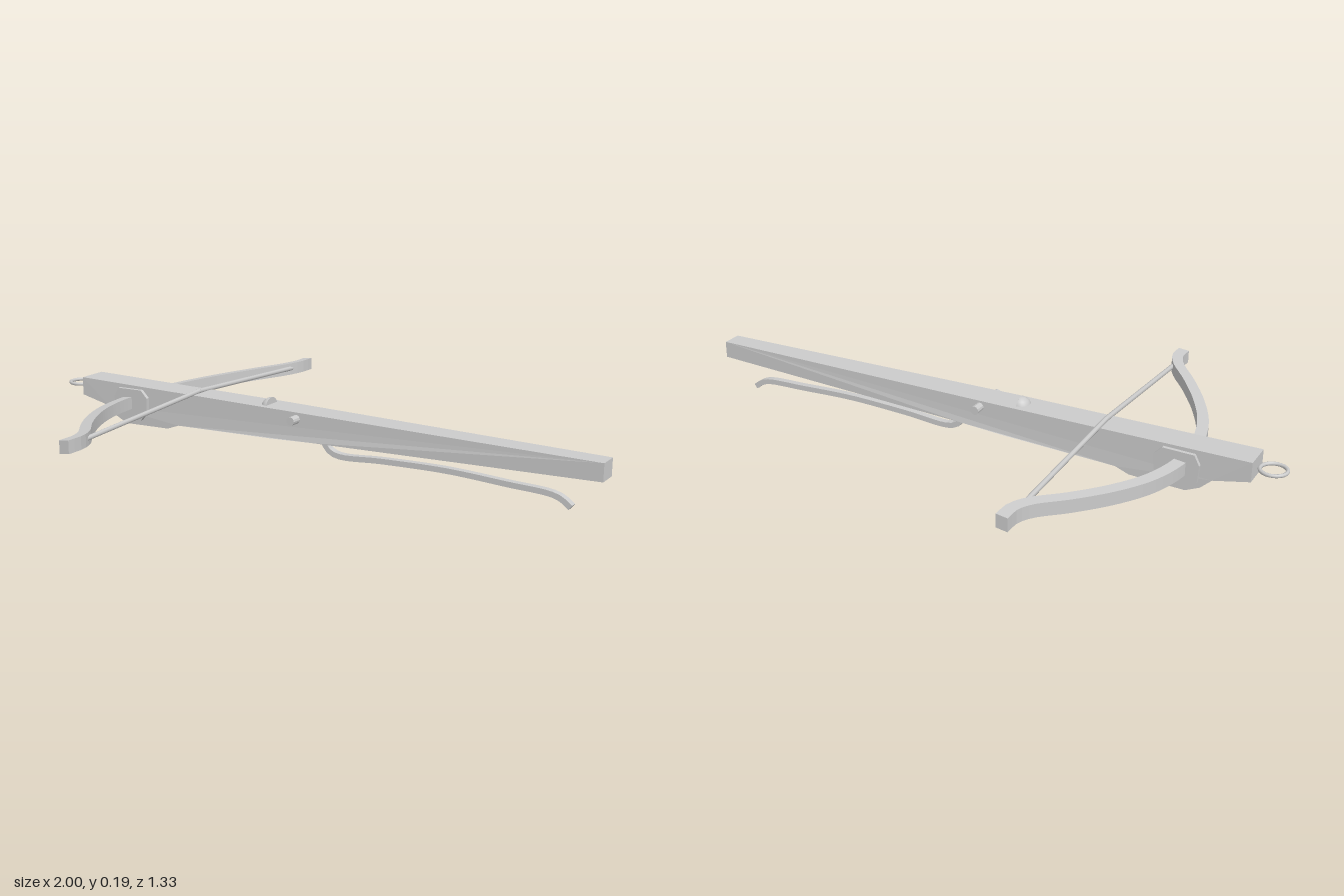
import * as THREE from 'three';

const CZ = -0.008; // centre line of the stock

const material = (flat = true) => new THREE.MeshStandardMaterial({ color: 0xcccccc, flatShading: flat, side: THREE.DoubleSide });

function add(group, name, geometry, flat = true) {
  const mesh = new THREE.Mesh(geometry, material(flat));
  mesh.name = name;
  group.add(mesh);
  return mesh;
}

const toShape = (pts) => new THREE.Shape(pts.map(([x, y]) => new THREE.Vector2(x, y)));

// Extrudes an outline and centres it on its depth
function slab(shape, depth) {
  const g = new THREE.ExtrudeGeometry(shape, { depth, bevelEnabled: false });
  g.translate(0, 0, -depth / 2);
  return g;
}

// Outline of constant thickness along a smooth path
function ribbon(pts, thickness, steps) {
  const curve = new THREE.CatmullRomCurve3(pts.map(([x, y]) => new THREE.Vector3(x, y, 0)));
  const a = [], b = [];
  for (let i = 0; i <= steps; i++) {
    const p = curve.getPointAt(i / steps), t = curve.getTangentAt(i / steps);
    const nx = -t.y * thickness / 2, ny = t.x * thickness / 2;
    a.push([p.x + nx, p.y + ny]);
    b.unshift([p.x - nx, p.y - ny]);
  }
  return toShape([...a, ...b]);
}

function reshape(geometry, rule) {
  const p = geometry.attributes.position, v = new THREE.Vector3();
  for (let i = 0; i < p.count; i++) {
    rule(v.fromBufferAttribute(p, i));
    p.setXYZ(i, v.x, v.y, v.z);
  }
  geometry.computeVertexNormals();
  return geometry;
}

export function createModel() {
  const model = new THREE.Group();
  model.name = 'crossbow';

  // Stock: side profile, tapered in width toward the butt
  const stock = slab(toShape([
    [-0.905, 0.17], [-0.905, 0.108], [-0.79, 0.084], [-0.755, 0.052], [-0.71, 0.032],
    [-0.53, 0.039], [-0.485, 0.056], [-0.1, 0.07], [0.05, 0.078], [1, 0.11],
    [1, 0.166], [-0.1, 0.17],
  ]), 0.1);
  add(model, 'stock', reshape(stock, (v) => {
    v.z = v.z * (1 - 0.33 * Math.max(0, (v.x + 0.1) / 1.1)) + CZ;
  }));

  // Bow: curved in plan, rising toward the tips
  const half = [[-0.692, 0.07], [-0.66, 0.21], [-0.6, 0.335], [-0.52, 0.455],
    [-0.445, 0.55], [-0.422, 0.605], [-0.421, 0.664]];
  const path = [...half.map(([x, z]) => [x, -z]).reverse(), ...half];
  const bow = slab(ribbon(path, 0.036, 56), 0.042);
  bow.rotateX(Math.PI / 2);
  add(model, 'bow', reshape(bow, (v) => { v.y += 0.108 + (v.x + 0.7) * 0.13; }));

  // Octagonal plates where the bow enters the stock
  const plate = [[-0.752, 0.125], [-0.735, 0.157], [-0.635, 0.16], [-0.61, 0.135],
    [-0.612, 0.085], [-0.638, 0.054], [-0.725, 0.046], [-0.748, 0.07]];
  for (const s of [1, -1]) {
    add(model, s > 0 ? 'leftPlate' : 'rightPlate', slab(toShape(plate), 0.012)).position.z = CZ + s * 0.055;
  }

  // String, bent over the top of the stock
  for (const s of [1, -1]) {
    const line = new THREE.LineCurve3(
      new THREE.Vector3(-0.425, 0.145, s * 0.565), new THREE.Vector3(-0.425, 0.176, 0));
    add(model, s > 0 ? 'leftString' : 'rightString', new THREE.TubeGeometry(line, 1, 0.008, 8), false);
  }

  // Nut: half dome, rounded toward the bow and flat behind
  const nut = new THREE.Group();
  nut.name = 'nut';
  nut.position.set(-0.138, 0.158, CZ);
  const dome = add(nut, 'nutDome', new THREE.SphereGeometry(0.034, 16, 8, 0, Math.PI), false);
  dome.rotation.y = -Math.PI / 2;
  const back = add(nut, 'nutBack', new THREE.CircleGeometry(0.034, 24));
  back.rotation.y = Math.PI / 2;
  model.add(nut);

  // Cross pin through the stock
  const pin = add(model, 'crossPin', new THREE.CylinderGeometry(0.014, 0.014, 0.155, 12));
  pin.rotation.x = Math.PI / 2;
  pin.position.set(-0.015, 0.146, CZ);

  // Ring at the nose
  const ring = add(model, 'noseRing', new THREE.TorusGeometry(0.04, 0.006, 8, 28), false);
  ring.rotation.x = Math.PI / 2;
  ring.position.set(-0.954, 0.138, CZ);

  // Long trigger lever under the stock
  const lever = ribbon([[0.06, 0.085], [0.085, 0.05], [0.12, 0.037], [0.28, 0.046], [0.5, 0.053],
    [0.7, 0.046], [0.84, 0.04], [0.872, 0.03], [0.9, 0.01]], 0.018, 40);
  add(model, 'triggerLever', slab(lever, 0.022)).position.z = CZ;

  return model;
}
